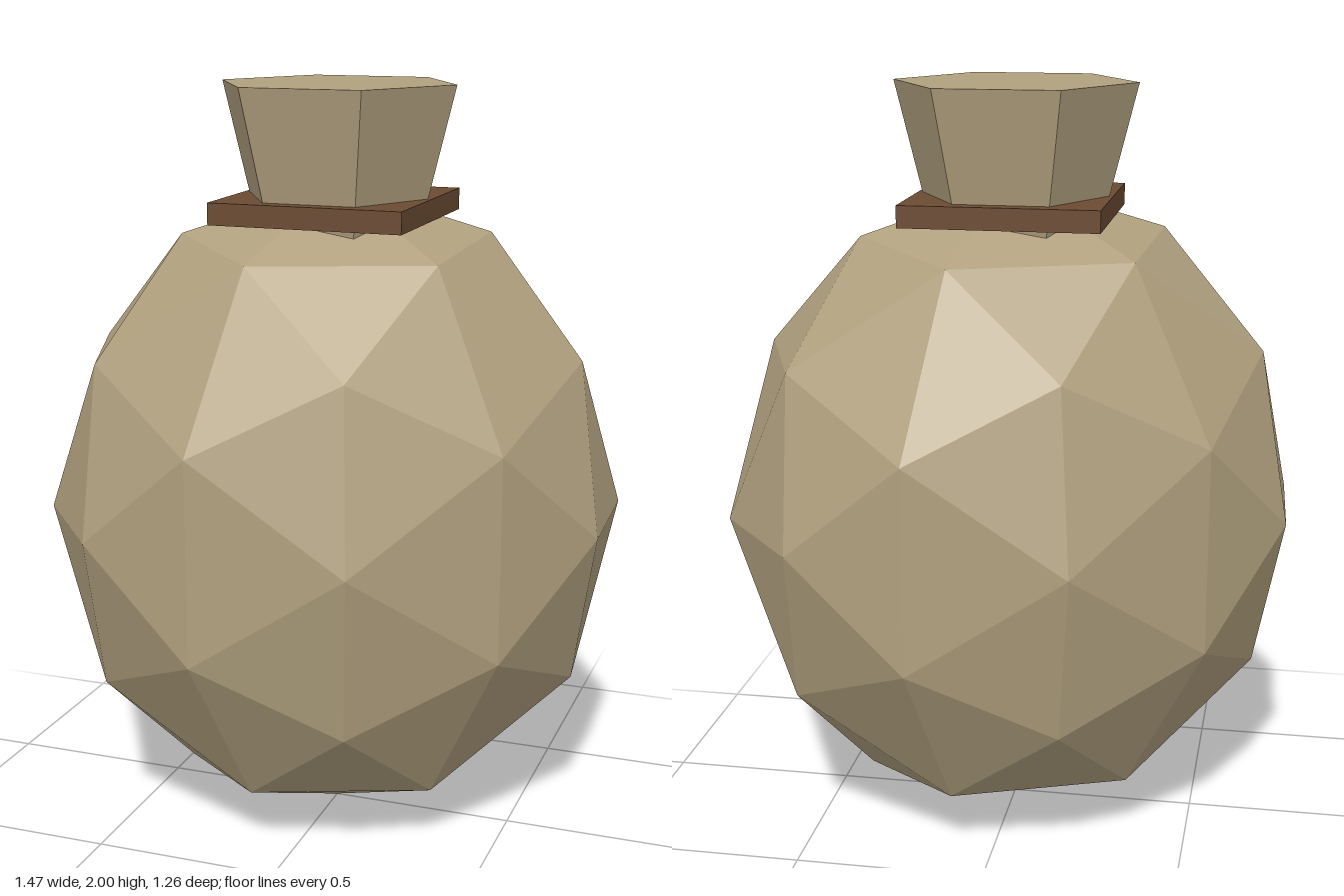
import * as THREE from 'three';

export function createModel() {
  const model = new THREE.Group();
  model.name = 'sack';

  const cloth = new THREE.MeshStandardMaterial({ color: 0xb0a07e });
  cloth.name = 'burlap';
  const cord = new THREE.MeshStandardMaterial({ color: 0x6b4a32 });
  cord.name = 'brownCord';

  const add = (name, geometry, material, y) => {
    // unshared vertices with face normals keep every facet flat
    const flat = geometry.index ? geometry.toNonIndexed() : geometry;
    flat.computeVertexNormals();
    const mesh = new THREE.Mesh(flat, material);
    mesh.name = name;
    mesh.position.y = y;
    model.add(mesh);
    return mesh;
  };

  // Faceted body: stretched icosphere, turned about the vertical
  const body = new THREE.IcosahedronGeometry(1, 1);
  body.scale(0.7725, 0.872, 0.649);
  body.rotateY(0.371);
  add('body', body, cloth, 0.872);

  // Square tie around the neck
  add('tie', new THREE.BoxGeometry(0.515, 0.057, 0.515), cord, 1.6825);

  // Flared six-sided neck, corners pointing to the sides
  const neck = new THREE.CylinderGeometry(0.32, 0.225, 0.378, 6);
  neck.rotateY(Math.PI / 6);
  add('neck', neck, cloth, 1.811);

  return model;
}
